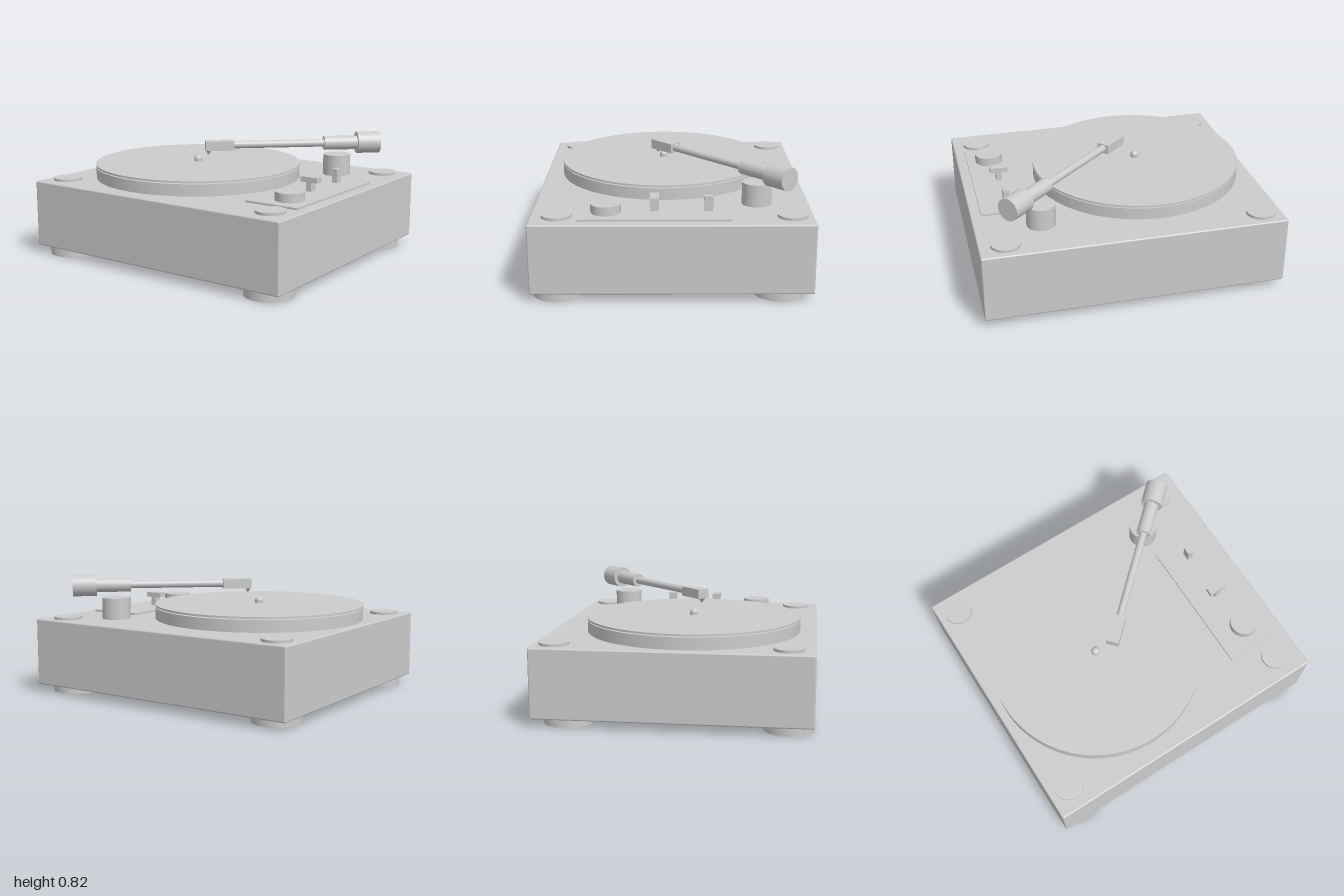
import * as THREE from 'three';
import { RoundedBoxGeometry } from 'three/addons/geometries/RoundedBoxGeometry.js';

const material = new THREE.MeshStandardMaterial({ color: 0xcccccc });

function add(parent, name, geometry, x, y, z) {
  const mesh = new THREE.Mesh(geometry, material);
  mesh.name = name;
  mesh.position.set(x, y, z);
  parent.add(mesh);
  return mesh;
}

// Upright disc or post between two heights
function disc(parent, name, r, y0, y1, x, z, segments = 48) {
  return add(parent, name, new THREE.CylinderGeometry(r, r, y1 - y0, segments), x, (y0 + y1) / 2, z);
}

// Box given by its limits on each axis
function box(parent, name, x0, x1, y0, y1, z0, z1) {
  return add(parent, name, new THREE.BoxGeometry(x1 - x0, y1 - y0, z1 - z0),
    (x0 + x1) / 2, (y0 + y1) / 2, (z0 + z1) / 2);
}

// Cylinder lying along the arm's x axis
function rod(parent, name, r, x0, x1) {
  const geometry = new THREE.CylinderGeometry(r, r, x1 - x0, 40).rotateZ(-Math.PI / 2);
  return add(parent, name, geometry, (x0 + x1) / 2, 0, 0);
}

export function createModel() {
  const model = new THREE.Group();
  model.name = 'turntable';

  // Plinth with softened edges
  add(model, 'plinth', new RoundedBoxGeometry(2, 0.457, 1.78, 3, 0.01), 0, 0.2835, 0);

  // Feet below and round caps on the top corners
  for (const x of [-0.815, 0.828])
    for (const z of [-0.68, 0.727]) disc(model, 'foot', 0.16, 0, 0.057, x, z);
  for (const x of [-0.856, 0.829])
    for (const z of [-0.754, 0.722]) disc(model, 'cornerCap', 0.096, 0.505, 0.53, x, z);

  // Platter, record and domed spindle
  const px = -0.219, pz = 0.055;
  disc(model, 'platter', 0.722, 0.505, 0.592, px, pz, 96);
  disc(model, 'record', 0.723, 0.599, 0.612, px, pz, 96);
  const spindle = [new THREE.Vector2(0.028, 0.59), new THREE.Vector2(0.028, 0.63)];
  for (let i = 1; i <= 8; i++) {
    const a = (i / 8) * Math.PI / 2;
    spindle.push(new THREE.Vector2(0.028 * Math.cos(a), 0.63 + 0.026 * Math.sin(a)));
  }
  add(model, 'spindle', new THREE.LatheGeometry(spindle, 24), px, 0, pz);

  // Control panel with knob, lever and T-shaped switch
  box(model, 'controlPanel', 0.556, 0.93, 0.505, 0.525, -0.367, 0.586);
  disc(model, 'knob', 0.096, 0.52, 0.583, 0.775, 0.417);
  box(model, 'lever', 0.727, 0.765, 0.52, 0.62, -0.26, -0.203);
  box(model, 'switchStem', 0.727, 0.765, 0.52, 0.59, 0.082, 0.139);
  box(model, 'switchCap', 0.684, 0.807, 0.585, 0.62, 0.082, 0.139);

  // Arm post
  disc(model, 'armPost', 0.096, 0.505, 0.658, 0.567, -0.55);

  // Tonearm, built along x and swung towards the back corner
  const arm = new THREE.Group();
  arm.name = 'tonearm';
  arm.position.set(-0.115, 0.742, 0.107);
  arm.rotation.y = 0.741;
  model.add(arm);
  box(arm, 'headshell', 0, 0.2, -0.035, 0.03, -0.044, 0.044);
  rod(arm, 'armTube', 0.026, 0.19, 0.86);
  rod(arm, 'armCollar', 0.049, 0.844, 1.09);
  rod(arm, 'counterweight', 0.076, 1.08, 1.242);
  const stylus = new THREE.ConeGeometry(0.024, 0.032, 20).rotateX(Math.PI);
  add(arm, 'stylus', stylus, 0.02, -0.051, 0);

  return model;
}
